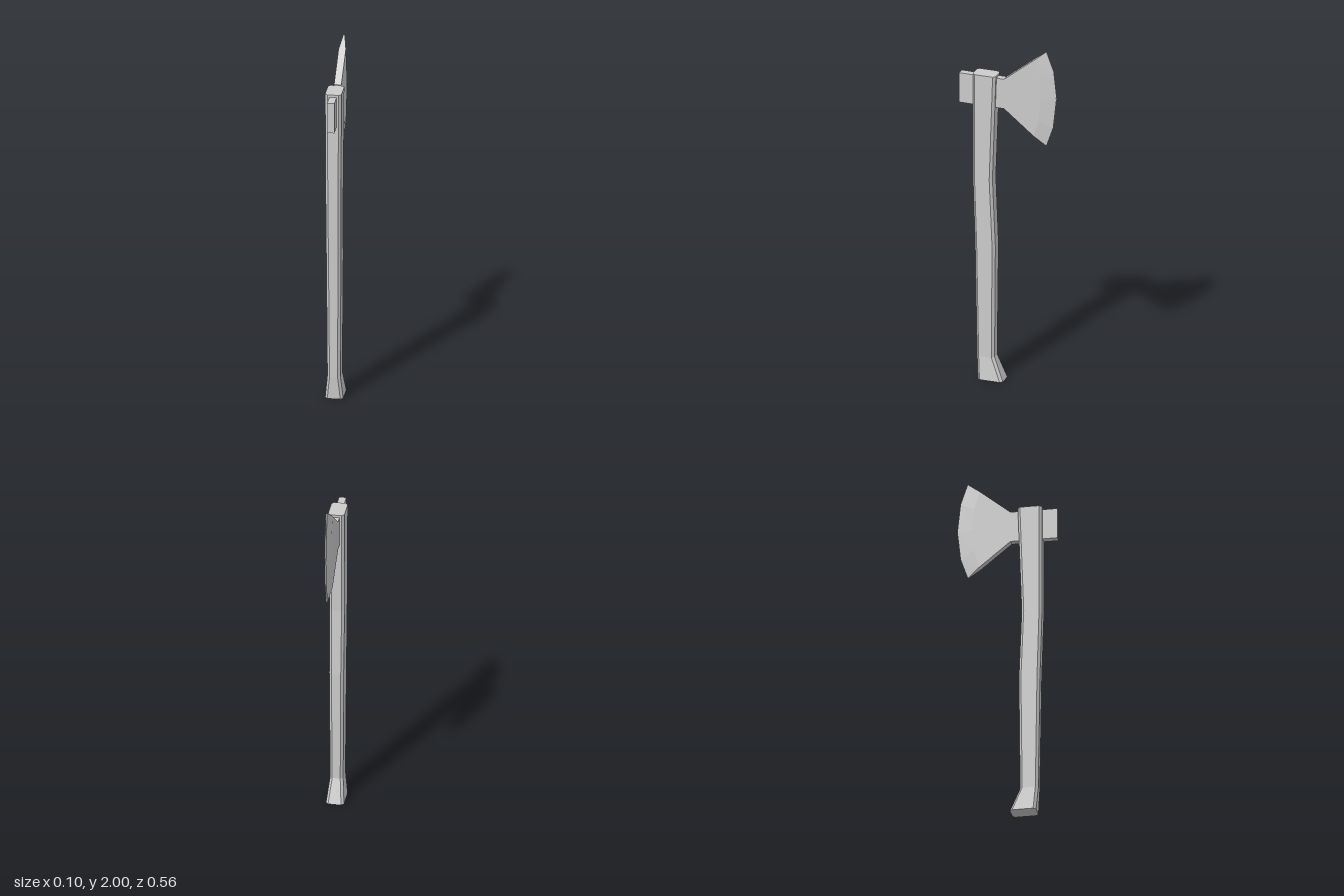
import * as THREE from 'three';

const material = new THREE.MeshStandardMaterial({ color: 0xcccccc, flatShading: true, roughness: 0.8 });

// Skins a stack of rings (each counter-clockwise about the travel direction) and caps both ends
function loft(name, rings) {
  const n = rings[0].length;
  const index = [];
  for (let i = 0; i < rings.length - 1; i++) {
    for (let j = 0; j < n; j++) {
      const a = i * n + j, b = i * n + (j + 1) % n;
      index.push(a, b, b + n, a, b + n, a + n);
    }
  }
  const end = (rings.length - 1) * n;
  for (let j = 1; j < n - 1; j++) {
    index.push(0, j + 1, j, end, end + j, end + j + 1);
  }
  const indexed = new THREE.BufferGeometry();
  indexed.setAttribute('position', new THREE.Float32BufferAttribute(rings.flat(2), 3));
  indexed.setIndex(index);
  const geometry = indexed.toNonIndexed();
  geometry.computeVertexNormals();
  const mesh = new THREE.Mesh(geometry, material);
  mesh.name = name;
  return mesh;
}

// Rectangle with chamfered corners at height y
function handleRing([y, front, back, w]) {
  const c = 0.014, x = w - c;
  return [
    [-x, front], [x, front], [w, front - c], [w, back + c],
    [x, back], [-x, back], [-w, back + c], [-w, front - c],
  ].map(([px, pz]) => [px, y, pz]);
}

// Head cross-section: five [z, y] points from top to bottom, mirrored to both sides
function headRing({ w, line }) {
  const left = line.map(([z, y]) => [w, y, z]);
  const right = line.map(([z, y]) => [-w, y, z]).reverse();
  return [...left, ...right];
}

// Symmetric line of five points about the head's middle height
function arc(midY, half, innerHalf, zs) {
  return [half, innerHalf, 0, -innerHalf, -half].map((h, i) => [zs[Math.abs(i - 2)], midY + h]);
}

export function createModel() {
  const group = new THREE.Group();
  group.name = 'axe';

  // Handle: height, front z, back z, half width
  group.add(loft('handle', [
    [0, 0.165, 0.02, 0.05],
    [0.135, 0.175, 0.074, 0.036],
    [0.8, 0.185, 0.068, 0.04],
    [1.2, 0.197, 0.084, 0.042],
    [1.82, 0.197, 0.063, 0.045],
  ].map(handleRing)));

  // Head: square poll through the handle, flared cheek, bevel and curved cutting edge
  const mid = 1.718;
  group.add(loft('axeHead', [
    { w: 0.02, line: arc(mid, 0.088, 0.05, [0.28, 0.28, 0.28]) },
    { w: 0.02, line: arc(mid, 0.088, 0.05, [0.02, 0.02, 0.02]) },
    { w: 0.02, line: arc(mid, 0.227, 0.125, [-0.19, -0.181, -0.152]) },
    { w: 0.004, line: arc(mid, 0.282, 0.166, [-0.278, -0.26, -0.22]) },
  ].map(headRing)));

  return group;
}
